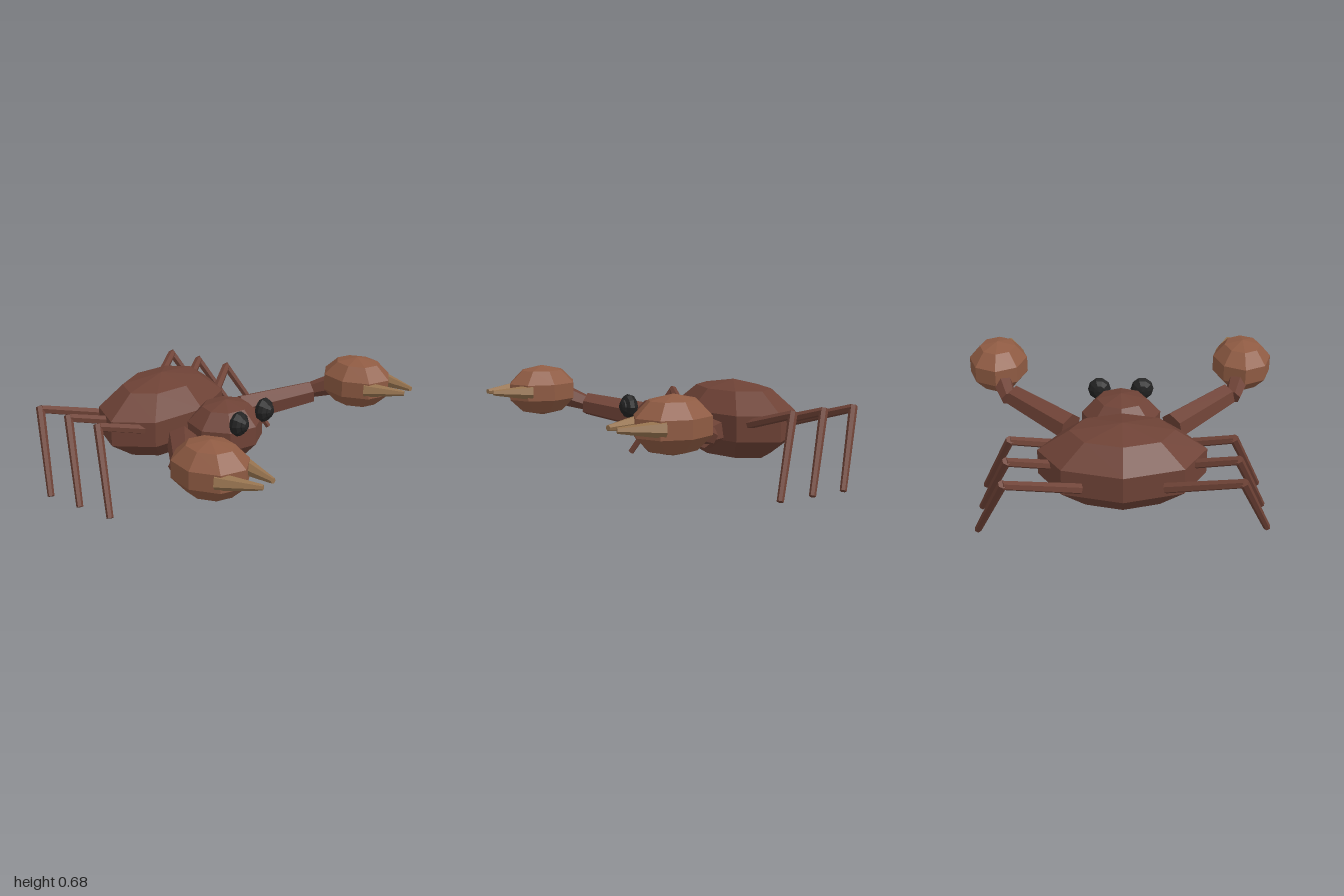
import * as THREE from 'three';

const paint = (color) => new THREE.MeshStandardMaterial({ color, flatShading: true });

export function createModel() {
  const model = new THREE.Group();
  const shell = paint(0x6e4236);
  const clawShell = paint(0x8f5b43);
  const horn = paint(0x96734f);
  const black = paint(0x222222);

  const add = (name, geometry, material) => {
    const mesh = new THREE.Mesh(geometry, material);
    mesh.name = name;
    model.add(mesh);
    return mesh;
  };

  // Faceted ellipsoid: eight sides, five bands
  const blob = (name, center, radii, material) => {
    const mesh = add(name, new THREE.SphereGeometry(1, 8, 5), material);
    mesh.position.set(...center);
    mesh.scale.set(...radii);
    return mesh;
  };

  // Tapered prism between two points
  const limb = (name, from, to, r0, r1, material, sides = 6) => {
    const a = new THREE.Vector3(...from);
    const b = new THREE.Vector3(...to);
    const dir = b.clone().sub(a);
    const mesh = add(name, new THREE.CylinderGeometry(r1, r0, dir.length(), sides), material);
    mesh.position.copy(a).add(b).multiplyScalar(0.5);
    mesh.quaternion.setFromUnitVectors(new THREE.Vector3(0, 1, 0), dir.normalize());
    return mesh;
  };

  // Body and head
  blob('body', [0, 0.353, -0.445], [0.524, 0.26, 0.342], shell);
  blob('head', [0, 0.352, 0.06], [0.26, 0.189, 0.24], shell);

  for (const [side, s] of [['left', 1], ['right', -1]]) {
    // Eye with a raised pupil, poles facing forward
    const eye = add(side + 'Eye', new THREE.SphereGeometry(1, 10, 6), black);
    eye.rotation.x = Math.PI / 2;
    eye.scale.set(0.074, 0.05, 0.078);
    eye.position.set(s * 0.138, 0.472, 0.257);
    const pupil = add(side + 'Pupil', new THREE.SphereGeometry(1, 10, 6), black);
    pupil.rotation.x = Math.PI / 2;
    pupil.scale.set(0.045, 0.032, 0.05);
    pupil.position.set(s * 0.138, 0.472, 0.288);

    // Arm and claw
    limb(side + 'UpperArm', [s * 0.32, 0.35, -0.035], [s * 0.69, 0.42, 0.265], 0.095, 0.075, shell);
    limb(side + 'Forearm', [s * 0.725, 0.415, 0.235], [s * 0.79, 0.49, 0.42], 0.05, 0.075, shell);
    blob(side + 'Claw', [s * 0.81, 0.52, 0.535], [0.2, 0.166, 0.242], clawShell);
    for (const [name, k] of [['Outer', 1], ['Inner', -1]]) {
      const x = s * 0.81;
      limb(side + name + 'Pincer', [x + s * k * 0.122, 0.525, 0.66], [x + s * k * 0.047, 0.53, 0.9],
        0.05, 0.016, horn);
    }

    // Three walking legs, each with one knee
    for (let i = 0; i < 3; i++) {
      const z = -0.24 - i * 0.24;
      const knee = [s * 0.66, 0.47, z - 0.16];
      limb(side + 'UpperLeg' + (i + 1), [s * 0.24, 0.34, z], knee, 0.032, 0.027, shell);
      limb(side + 'LowerLeg' + (i + 1), [s * 0.655, 0.482, z - 0.168], [s * 0.85, 0.012, z + 0.075],
        0.027, 0.021, shell);
    }
  }
  return model;
}
